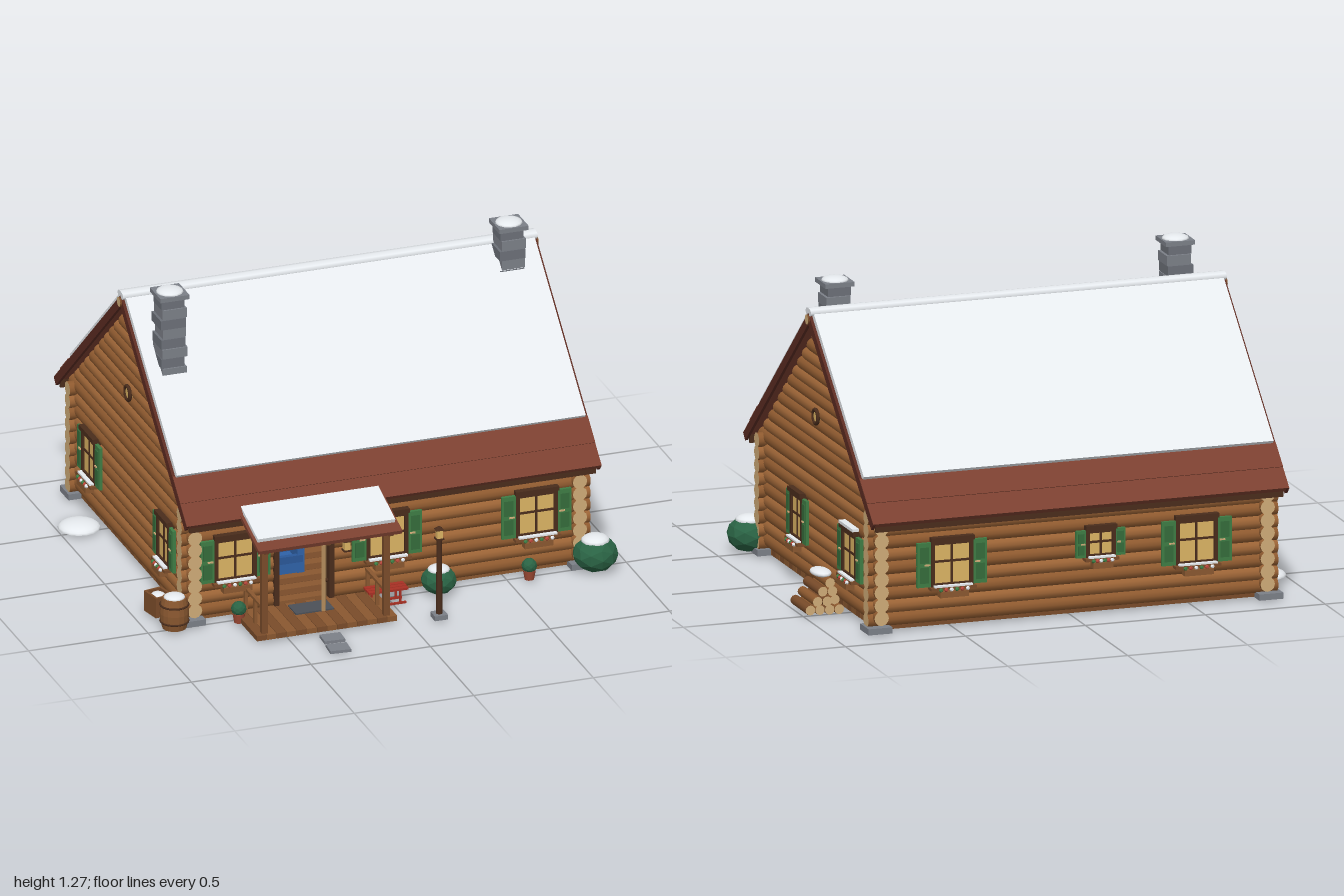
import * as THREE from 'three';

const C = { log: 0x9c6436, log2: 0x8f5a2f, end: 0xd0ac78, dark: 0x4a2d1c, wood: 0x7a4c2a, plank: 0x8a5830, red: 0x7b4030,
  snow: 0xe6eaee, stone: 0x7c8088, stone2: 0x6c7078, green: 0x3f7d45, bush: 0x2a6344, glow: 0xdcb464, tan: 0xb08a5a, sled: 0xa83024 };
const cache = {};
const mat = (c) => (cache[c] ??= new THREE.MeshStandardMaterial({ color: c }));
const flat = (c) => (cache['f' + c] ??= new THREE.MeshStandardMaterial({ color: c, flatShading: true }));

function put(parent, name, geo, material, x, y, z) {
  const m = new THREE.Mesh(geo, material);
  m.name = name;
  m.position.set(x, y, z);
  parent.add(m);
  return m;
}
const box = (p, name, c, w, h, d, x, y, z) => put(p, name, new THREE.BoxGeometry(w, h, d), mat(c), x, y, z);
const cyl = (p, name, c, r1, r2, h, x, y, z, n = 12) => put(p, name, new THREE.CylinderGeometry(r1, r2, h, n), mat(c), x, y, z);
function blob(p, name, c, sx, sy, sz, x, y, z) {
  const m = put(p, name, new THREE.SphereGeometry(1, 14, 8), mat(c), x, y, z);
  m.scale.set(sx, sy, sz);
  return m;
}
function group(parent, name, x = 0, y = 0, z = 0, ry = 0) {
  const g = new THREE.Group();
  g.name = name;
  g.position.set(x, y, z);
  g.rotation.y = ry;
  parent.add(g);
  return g;
}
// A round log from a to b along the x or z axis, with pale sawn ends
function log(p, name, axis, a, b, r, x, y, z, c = C.log) {
  const m = put(p, name, new THREE.CylinderGeometry(r, r, b - a, 12), [mat(c), mat(C.end), mat(C.end)], x, y, z);
  if (axis === 'x') { m.rotation.z = Math.PI / 2; m.position.x = (a + b) / 2; }
  else { m.rotation.x = Math.PI / 2; m.position.z = (a + b) / 2; }
}

const MID = -0.185, FRONT = 0.46, BACK = -0.83, SIDE = 0.805, GROUND = 0.03;
const APEX = 1.165, SLOPE = 0.88, TH = Math.atan(SLOPE);

function walls(root) {
  const g = group(root, 'logWalls');
  for (let i = 0; i < 9; i++) {
    const y = 0.075 + i * 0.052, c = i % 2 ? C.log : C.log2;
    // front logs leave the doorway open
    if (y < 0.37) {
      log(g, 'frontLog', 'x', -0.855, -0.46, 0.03, 0, y, FRONT, c);
      log(g, 'frontLog', 'x', -0.23, 0.855, 0.03, 0, y, FRONT, c);
    } else log(g, 'frontLog', 'x', -0.855, 0.855, 0.03, 0, y, FRONT, c);
    log(g, 'backLog', 'x', -0.855, 0.855, 0.03, 0, y, BACK, c);
    for (const s of [-1, 1]) log(g, 'sideLog', 'z', MID - 0.69, MID + 0.69, 0.03, s * SIDE, y + 0.012, 0, c);
  }
  // stepped gable logs under the roof slopes
  for (let i = 0; i < 11; i++) {
    const y = 0.553 + i * 0.05, half = (1.135 - y - 0.025) / SLOPE;
    for (const s of [-1, 1]) log(g, 'gableLog', 'z', MID - half, MID + half, 0.027, s * SIDE, y, 0, i % 2 ? C.log2 : C.log);
  }
  for (let i = 0; i < 26; i++) box(g, 'floorPlank', i % 2 ? C.plank : C.wood, 1.62, 0.025, 0.047, 0, 0.043, BACK + 0.02 + i * 0.05);
  for (const x of [-SIDE, SIDE]) for (const z of [FRONT, BACK])
    box(g, 'cornerStone', C.stone, 0.1, 0.025, 0.1, x + Math.sign(x) * 0.01, 0.04, z + Math.sign(z) * 0.01);
  for (const s of [-1, 1]) {
    const ring = put(g, 'gableWindowFrame', new THREE.TorusGeometry(0.028, 0.008, 8, 20), mat(C.dark), s * 0.837, 0.742, MID);
    ring.rotation.y = Math.PI / 2;
    cyl(g, 'gableWindowPane', C.glow, 0.026, 0.026, 0.012, s * 0.832, 0.742, MID, 20).rotation.z = Math.PI / 2;
  }
}

function roof(root) {
  for (const turn of [0, Math.PI]) {
    const g = group(root, turn ? 'backRoof' : 'frontRoof', 0, APEX, MID);
    g.rotation.set(TH, turn, 0, 'YXZ');
    box(g, 'roofSlab', C.red, 1.735, 0.018, 1.02, 0, -0.01, 0.51);
    for (let i = 0; i < 2; i++) box(g, 'roofCourse', C.red, 1.735, 0.008, 0.12, 0, 0.002 - i * 0.003, 0.86 + i * 0.1);
    box(g, 'roofSnow', C.snow, 1.71, 0.024, 0.806, 0, 0.01, 0.403);
    for (const s of [-1, 1]) box(g, 'bargeBoard', 0x5c2c22, 0.012, 0.035, 1.02, s * 0.862, -0.016, 0.51);
  }
  for (const s of [-1, 1]) box(root, 'fascia', C.dark, 1.7, 0.035, 0.012, 0, 0.472, MID + s * 0.745);
  log(root, 'ridgeLog', 'x', -0.875, 0.875, 0.02, 0, APEX - 0.025, MID, C.wood);
  const cap = cyl(root, 'ridgeSnow', C.snow, 0.034, 0.034, 1.735, 0, 1.17, MID, 8);
  cap.rotation.z = Math.PI / 2;
  cap.scale.x = 0.5;
}

function chimney(root, x, z, bottom) {
  const g = group(root, 'chimney', x, 0, z);
  const rows = Math.round((1.255 - bottom) / 0.042);
  for (let i = 0; i < rows; i++) {
    const w = 0.096 + (i % 3) * 0.005;
    box(g, 'chimneyStone', i % 2 ? C.stone : C.stone2, w, 0.04, w, (i % 2 - 0.5) * 0.006, 1.235 - i * 0.042, 0);
  }
  box(g, 'chimneyCap', C.stone, 0.122, 0.018, 0.122, 0, 1.262, 0);
  blob(g, 'chimneySnow', C.snow, 0.055, 0.018, 0.055, 0, 1.27, 0);
}

// Window facing local +z, standing on the wall surface
function makeWindow(root, x, y, z, ry, w = 0.16, h = 0.17, snowy = false) {
  const g = group(root, 'window', x, y, z, ry), sw = w * 0.36;
  box(g, 'pane', C.glow, w, h, 0.012, 0, 0, 0);
  for (const s of [-1, 1]) {
    box(g, 'frameSide', C.dark, 0.016, h + 0.02, 0.03, s * w / 2, 0, 0);
    box(g, 'frameRail', C.dark, w + 0.016, 0.014, 0.03, 0, s * h / 2, 0);
    const shutter = group(g, 'shutter', s * (w / 2 + sw / 2 + 0.008), 0, 0.006);
    box(shutter, 'shutterPanel', C.green, sw, h + 0.01, 0.014, 0, 0, 0);
    for (const k of [-1, 1]) box(shutter, 'shutterInset', 0x356c3b, sw * 0.65, h * 0.38, 0.006, 0, k * h * 0.24, 0.008);
    box(shutter, 'shutterHinge', C.end, sw * 0.4, 0.006, 0.006, -s * sw * 0.2, 0, 0.009);
  }
  box(g, 'mullion', C.dark, 0.009, h, 0.02, 0, 0, 0);
  box(g, 'crossBar', C.dark, w, 0.009, 0.02, 0, h * 0.06, 0);
  box(g, 'lintel', C.dark, w + 0.02, 0.018, 0.04, 0, h / 2 + 0.016, 0.004);
  if (snowy) box(g, 'lintelSnow', C.snow, w + 0.015, 0.012, 0.04, 0, h / 2 + 0.03, 0.006);
  box(g, 'sill', C.wood, w + 0.03, 0.012, 0.045, 0, -h / 2 - 0.012, 0.012);
  box(g, 'sillSnow', C.snow, w, 0.008, 0.03, 0, -h / 2 - 0.003, 0.018);
  box(g, 'flowerBox', C.plank, w * 0.75, 0.024, 0.035, 0, -h / 2 - 0.034, 0.025);
  for (let i = 0; i < 6; i++)
    put(g, 'flower', new THREE.IcosahedronGeometry(0.009, 0), flat([C.green, 0xb8483c, C.snow][i % 3]), (i - 2.5) * w * 0.14, -h / 2 - 0.015, 0.038);
}

function lantern(parent, x, y, z) {
  const g = group(parent, 'lantern', x, y, z);
  box(g, 'lanternLight', C.glow, 0.024, 0.036, 0.024, 0, 0, 0);
  box(g, 'lanternBase', C.dark, 0.032, 0.006, 0.032, 0, -0.02, 0);
  cyl(g, 'lanternRoof', C.dark, 0.004, 0.024, 0.014, 0, 0.025, 0, 4).rotation.y = Math.PI / 4;
}

function porch(root) {
  const g = group(root, 'porch', -0.34);
  for (let i = 0; i < 14; i++) box(g, 'deckPlank', i % 2 ? C.plank : C.wood, 0.04, 0.022, 0.26, -0.273 + i * 0.042, 0.043, 0.615);
  box(g, 'doormat', 0x4c5058, 0.16, 0.006, 0.09, 0, 0.057, 0.56);
  const r = group(g, 'porchRoof', 0, 0.475, 0.6375);
  r.rotation.x = 0.296;
  box(r, 'porchRoofSlab', C.red, 0.6, 0.016, 0.308, 0, 0, 0);
  box(r, 'porchSnow', C.snow, 0.575, 0.02, 0.24, 0, 0.014, -0.02);
  for (const x of [-0.26, 0, 0.26]) box(r, 'rafter', C.wood, 0.02, 0.02, 0.28, x, -0.016, 0);
  box(g, 'porchBeam', C.wood, 0.56, 0.022, 0.024, 0, 0.425, 0.72);
  for (const s of [-1, 1]) {
    box(g, 'porchPost', C.wood, 0.024, 0.37, 0.024, s * 0.255, 0.235, 0.72);
    box(g, 'handrail', C.plank, 0.016, 0.012, 0.22, s * 0.255, 0.16, 0.61);
    for (const z of [0.51, 0.62]) box(g, 'railPost', C.plank, 0.013, 0.11, 0.013, s * 0.255, 0.105, z);
  }
  // doorway with its open leaf
  for (const s of [-1, 1]) box(g, 'doorJamb', C.dark, 0.02, 0.315, 0.075, s * 0.115 - 0.005, 0.21, FRONT);
  box(g, 'doorHead', C.dark, 0.25, 0.02, 0.075, -0.005, 0.365, FRONT);
  const leaf = group(g, 'door', 0.1, 0.21, FRONT - 0.02, 1.2);
  box(leaf, 'doorLeaf', C.tan, 0.2, 0.29, 0.016, -0.1, 0, 0);
  put(leaf, 'doorKnob', new THREE.SphereGeometry(0.008, 8, 6), mat(C.dark), -0.18, -0.02, 0.012);
  lantern(g, 0.165, 0.28, 0.515);
}

function interior(root) {
  const g = group(root, 'room');
  const chair = group(g, 'armchair', -0.32, 0.055, 0.2);
  box(chair, 'seat', 0x2f62a8, 0.12, 0.055, 0.1, 0, 0.04, 0);
  box(chair, 'backrest', 0x2f62a8, 0.03, 0.12, 0.1, 0.05, 0.07, 0);
  for (const s of [-1, 1]) box(chair, 'arm', 0x2a5898, 0.11, 0.03, 0.02, 0, 0.075, s * 0.05);
  const stool = group(g, 'woodChair', -0.42, 0.055, 0.3);
  box(stool, 'seat', C.plank, 0.05, 0.01, 0.05, 0, 0.06, 0);
  box(stool, 'backrest', C.plank, 0.01, 0.07, 0.05, -0.022, 0.1, 0);
  for (const x of [-0.02, 0.02]) for (const z of [-0.02, 0.02]) box(stool, 'leg', C.plank, 0.008, 0.06, 0.008, x, 0.03, z);
  blob(g, 'wallFish', C.green, 0.04, 0.02, 0.015, -0.355, 0.305, BACK + 0.05);
}

function bush(root, x, z, r) {
  const g = group(root, 'bush', x, GROUND + r * 0.7, z);
  put(g, 'leaves', new THREE.IcosahedronGeometry(r, 1), flat(C.bush), 0, 0, 0).scale.y = 0.8;
  blob(g, 'bushSnow', C.snow, r * 0.62, r * 0.25, r * 0.62, 0, r * 0.62, 0);
}

function yard(root) {
  bush(root, 0.205, 0.53, 0.072);
  bush(root, 0.86, 0.53, 0.092);
  for (const x of [-0.635, 0.58]) {
    const pot = group(root, 'pottedPlant', x, GROUND, 0.54);
    cyl(pot, 'pot', 0xa04a34, 0.026, 0.019, 0.04, 0, 0.02, 0);
    put(pot, 'plant', new THREE.IcosahedronGeometry(0.031, 1), flat(C.bush), 0, 0.058, 0);
  }
  // barrel with iron hoops and snow
  const barrel = group(root, 'barrel', -0.89, GROUND, 0.5);
  const profile = [[0, 0], [0.048, 0], [0.056, 0.035], [0.058, 0.065], [0.056, 0.095], [0.048, 0.13], [0, 0.13]].map(([a, b]) => new THREE.Vector2(a, b));
  put(barrel, 'staves', new THREE.LatheGeometry(profile, 16), flat(C.plank), 0, 0, 0);
  for (const y of [0.03, 0.1]) put(barrel, 'hoop', new THREE.TorusGeometry(0.056, 0.004, 6, 20), mat(C.dark), 0, y, 0).rotation.x = Math.PI / 2;
  blob(barrel, 'barrelSnow', C.snow, 0.043, 0.014, 0.043, 0, 0.13, 0);
  const crate = group(root, 'crate', -0.9, GROUND, 0.345, 0.2);
  box(crate, 'crateBody', C.plank, 0.066, 0.07, 0.08, 0, 0.035, 0);
  for (const s of [-1, 1]) {
    box(crate, 'crateSlat', C.wood, 0.074, 0.085, 0.01, 0, 0.043, s * 0.042);
    box(crate, 'crateSlat', C.wood, 0.01, 0.085, 0.09, s * 0.035, 0.043, 0);
  }
  blob(crate, 'crateSnow', C.snow, 0.028, 0.014, 0.034, 0, 0.073, 0);
  put(root, 'snowMound', new THREE.SphereGeometry(1, 16, 6, 0, Math.PI * 2, 0, Math.PI / 2), new THREE.MeshStandardMaterial({ color: C.snow, side: THREE.DoubleSide }), -0.915, GROUND, -0.53).scale.set(0.085, 0.03, 0.085);
  // firewood heaped against the wall
  const pile = group(root, 'woodpile');
  for (let row = 0; row < 4; row++) for (let j = 0; j < 4 - row; j++) {
    const dz = ((row * 3 + j * 5) % 4 - 1.5) * 0.006;
    log(pile, 'firewood', 'z', -0.535 + dz, -0.355 + dz, 0.02, 0.865 + j * 0.038 + row * 0.012, 0.05 + row * 0.036, 0, j % 2 ? C.wood : C.log2);
  }
  blob(pile, 'woodpileSnow', C.snow, 0.04, 0.016, 0.068, 0.91, 0.183, -0.45);
  // lamp post
  box(root, 'lampBase', C.stone, 0.055, 0.02, 0.055, 0.12, 0.04, 0.77);
  cyl(root, 'lampPost', C.dark, 0.011, 0.013, 0.33, 0.12, 0.205, 0.77);
  lantern(root, 0.12, 0.392, 0.77);
  // sled beside the porch
  const sled = group(root, 'sled', -0.03, GROUND, 0.57);
  for (const z of [-0.024, 0, 0.024]) box(sled, 'sledSlat', C.sled, 0.165, 0.009, 0.019, 0, 0.066, z);
  for (const z of [-0.025, 0.025]) {
    box(sled, 'runner', C.sled, 0.15, 0.008, 0.008, 0, 0.006, z);
    for (const x of [-0.05, 0.05]) box(sled, 'strut', C.sled, 0.008, 0.06, 0.008, x, 0.035, z);
  }
  box(root, 'steppingStone', C.stone, 0.085, 0.012, 0.07, -0.345, 0.034, 0.82).rotation.y = -0.05;
  box(root, 'steppingStone', C.stone, 0.085, 0.012, 0.07, -0.355, 0.034, 0.918).rotation.y = -0.08;
}

export function createModel() {
  const root = new THREE.Group();
  root.name = 'logCabin';
  walls(root);
  roof(root);
  chimney(root, -0.75, 0.06, 0.87);
  chimney(root, 0.73, -0.11, 1.04);
  for (const x of [-0.635, 0, 0.625]) makeWindow(root, x, 0.287, FRONT + 0.03, 0);
  for (const x of [-0.51, 0.51]) makeWindow(root, x, 0.287, BACK - 0.03, Math.PI);
  makeWindow(root, -0.11, 0.315, BACK - 0.03, Math.PI, 0.11, 0.1);
  makeWindow(root, SIDE + 0.03, 0.287, 0.015, Math.PI / 2, 0.125);
  makeWindow(root, SIDE + 0.03, 0.287, -0.605, Math.PI / 2, 0.15, 0.17, true);
  makeWindow(root, -SIDE - 0.03, 0.287, 0.25, -Math.PI / 2, 0.125);
  makeWindow(root, -SIDE - 0.03, 0.287, -0.61, -Math.PI / 2, 0.14);
  porch(root);
  interior(root);
  yard(root);
  return root;
}
